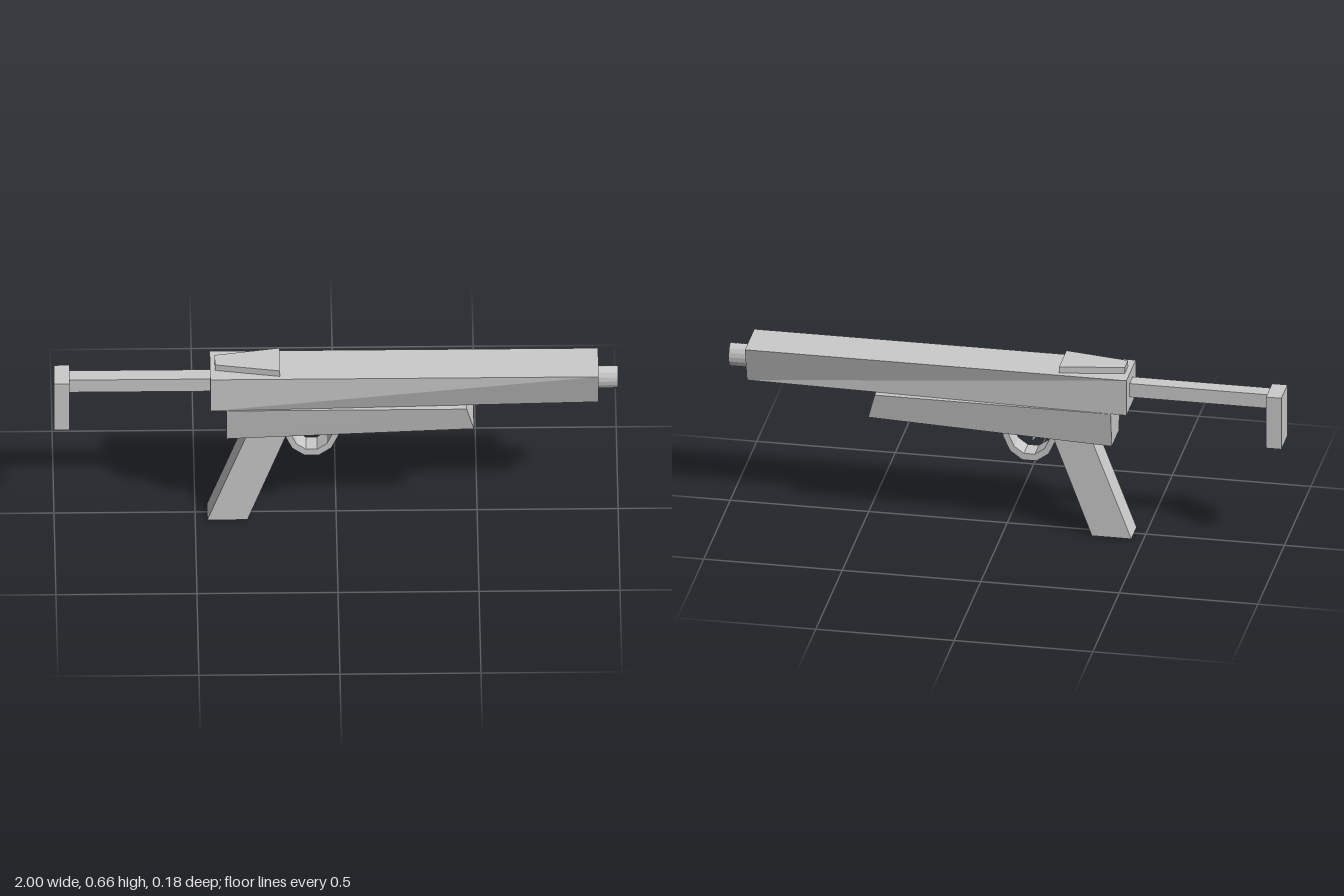
import * as THREE from 'three';

const material = new THREE.MeshStandardMaterial({ color: 0xcccccc, flatShading: true });

export function createModel() {
  const model = new THREE.Group();

  const add = (name, geometry, x = 0, y = 0, z = 0) => {
    const mesh = new THREE.Mesh(geometry, material);
    mesh.name = name;
    mesh.position.set(x, y, z);
    model.add(mesh);
    return mesh;
  };

  // Box given by its limits along x and y, and its half width
  const box = (name, x0, x1, y0, y1, halfZ) =>
    add(name, new THREE.BoxGeometry(x1 - x0, y1 - y0, 2 * halfZ), (x0 + x1) / 2, (y0 + y1) / 2);

  // Six-sided block, mirrored in z; each corner is [x, y, half width]
  const block = (name, { backLow, frontLow, frontTop, backTop }) => {
    const geometry = new THREE.BoxGeometry(2, 2, 2).toNonIndexed();
    const p = geometry.attributes.position;
    for (let i = 0; i < p.count; i++) {
      const front = p.getX(i) > 0, top = p.getY(i) > 0;
      const c = top ? (front ? frontTop : backTop) : (front ? frontLow : backLow);
      p.setXYZ(i, c[0], c[1], c[2] * Math.sign(p.getZ(i)));
    }
    geometry.computeVertexNormals();
    return add(name, geometry);
  };

  // Side outline extruded evenly to both sides of z = 0
  const plate = (name, points, halfZ) => {
    const shape = new THREE.Shape(points.map(([x, y]) => new THREE.Vector2(x, y)));
    const geometry = new THREE.ExtrudeGeometry(shape, { depth: 2 * halfZ, bevelEnabled: false });
    return add(name, geometry, 0, 0, -halfZ);
  };

  // Long upper body, its underside narrowing towards the muzzle
  block('upperBody', {
    backLow: [-0.447, 0.5, 0.088], frontLow: [0.93, 0.5, 0.05],
    frontTop: [0.93, 0.636, 0.088], backTop: [-0.447, 0.636, 0.088],
  });

  // Lower frame with a sloping underside
  block('lowerFrame', {
    backLow: [-0.39, 0.365, 0.068], frontLow: [0.488, 0.404, 0.073],
    frontTop: [0.462, 0.5, 0.088], backTop: [-0.39, 0.5, 0.088],
  });

  // Wedge-shaped plate on top
  block('topPlate', {
    backLow: [-0.43, 0.634, 0.03], frontLow: [-0.2, 0.634, 0.07],
    frontTop: [-0.2, 0.66, 0.07], backTop: [-0.43, 0.66, 0.03],
  });

  // Raked grip
  plate('grip', [[-0.457, 0], [-0.315, 0], [-0.172, 0.38], [-0.312, 0.38]], 0.05);

  // Stock
  box('stockBar', -0.95, -0.44, 0.545, 0.598, 0.029);
  box('buttPlate', -1, -0.945, 0.402, 0.602, 0.057);

  // Hollow oval muzzle
  const profile = [[0.83, -0.01], [1, -0.01], [1, 0.07], [0.83, 0.07], [0.83, -0.01]]
    .map(([r, y]) => new THREE.Vector2(r, y));
  const muzzle = add('muzzle', new THREE.LatheGeometry(profile, 16), 0.93, 0.573, 0);
  muzzle.rotation.z = -Math.PI / 2;
  muzzle.scale.set(0.044, 1, 0.03);

  // Trigger guard: lower arc of a faceted oval ring
  const arc = (scale) => Array.from({ length: 8 }, (_, i) => {
    const a = THREE.MathUtils.degToRad(-195 + 30 * i);
    return [-0.087 + 0.098 * scale * Math.cos(a), 0.386 + 0.12 * scale * Math.sin(a)];
  });
  plate('triggerGuard', [...arc(1), ...arc(0.78).reverse()], 0.038);

  // Trigger
  plate('trigger', [[-0.128, 0.38], [-0.092, 0.333], [-0.096, 0.385]], 0.015);

  return model;
}
